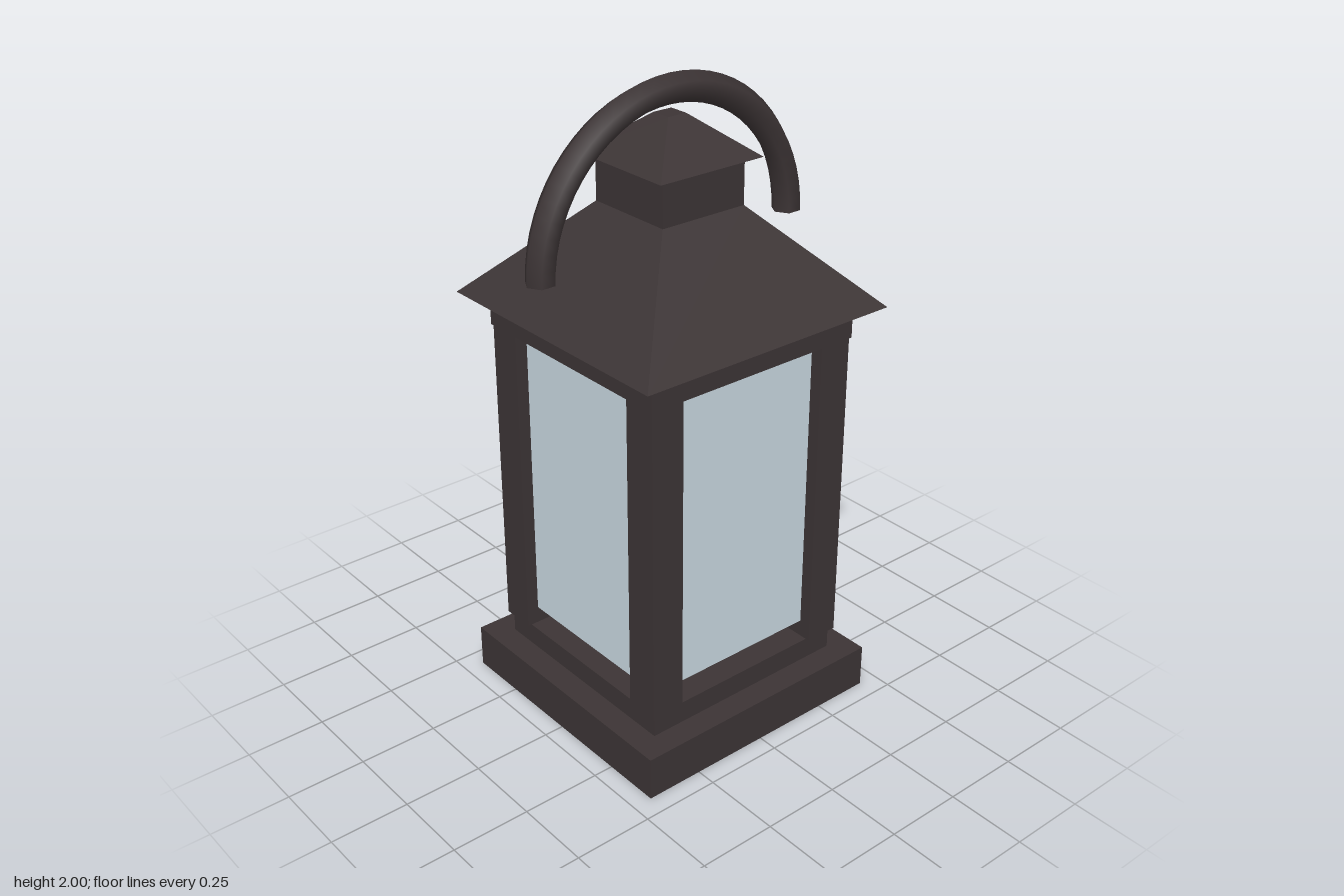
import * as THREE from 'three';

export function createModel() {
  const lantern = new THREE.Group();
  lantern.name = 'lantern';

  // Double-sided because the base is open below and the handle is a hollow tube
  const metal = new THREE.MeshStandardMaterial({ color: 0x3c3435, side: THREE.DoubleSide });
  metal.name = 'dark metal';
  const glass = new THREE.MeshStandardMaterial({ color: 0xc9d8e1 });
  glass.name = 'pale glass';
  const wax = new THREE.MeshStandardMaterial({ color: 0x8c8160 });
  wax.name = 'candle wax';

  function add(name, geometry, material, x = 0, y = 0, z = 0) {
    const mesh = new THREE.Mesh(geometry, material);
    mesh.name = name;
    mesh.position.set(x, y, z);
    lantern.add(mesh);
    return mesh;
  }

  // Square block given by its half width and height range
  function block(name, half, y0, y1, material = metal) {
    const geo = new THREE.BoxGeometry(half * 2, y1 - y0, half * 2);
    return add(name, geo, material, 0, (y0 + y1) / 2, 0);
  }

  // Truncated square pyramid with crisp faces
  function pyramid(name, bottomHalf, topHalf, y0, y1) {
    const geo = new THREE.CylinderGeometry(topHalf * Math.SQRT2, bottomHalf * Math.SQRT2, y1 - y0, 4)
      .rotateY(Math.PI / 4).toNonIndexed();
    geo.computeVertexNormals();
    add(name, geo, metal, 0, (y0 + y1) / 2, 0);
  }

  // Stepped base: the lower block is hollow, so its bottom face is dropped
  const base = block('base', 0.437, 0, 0.14).geometry;
  base.setIndex(Array.from(base.index.array).filter((v, i) => i < 18 || i >= 24));
  base.clearGroups();
  block('baseStep', 0.357, 0.14, 0.21);

  // Corner posts
  for (const x of [-1, 1]) {
    for (const z of [-1, 1]) {
      add('cornerPost', new THREE.BoxGeometry(0.11, 1.02, 0.11), metal, x * 0.315, 0.72, z * 0.315);
    }
  }

  // Glass box between the posts, raised above the base step
  block('glassBox', 0.33, 0.265, 1.228, glass);

  // Candle standing inside
  add('candle', new THREE.CylinderGeometry(0.124, 0.124, 0.34, 24), wax, 0, 0.38, 0);

  // Roof, chimney and cap
  block('topFrame', 0.375, 1.228, 1.328);
  pyramid('roof', 0.444, 0.148, 1.328, 1.625);
  block('chimney', 0.148, 1.625, 1.768);
  pyramid('chimneyCap', 0.185, 0.032, 1.768, 1.888);

  // Arched carrying handle with open ends
  add('handle', new THREE.TorusGeometry(0.455, 0.045, 6, 32, Math.PI), metal, 0, 1.5, 0);

  return lantern;
}
